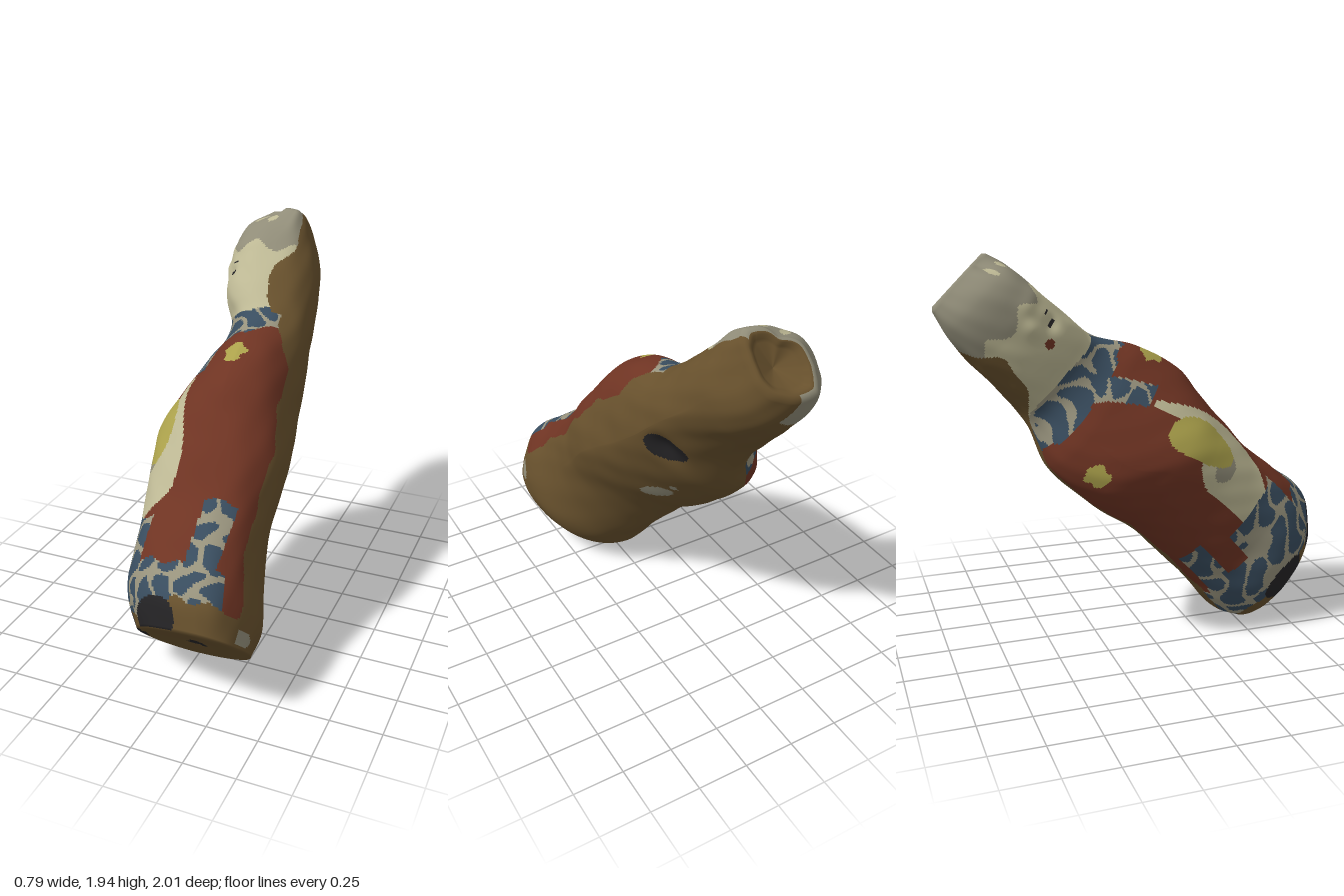
import * as THREE from 'three';

const COLORS = {
  barkBrown: 0x68512d, robeRed: 0x6f3423, trimBlue: 0x394d5f, trimTan: 0x98937d,
  paleCream: 0xbdb894, headGrey: 0x908c78, goldYellow: 0xaba14b, darkHollow: 0x252426,
};

// Log cross-sections, in the leaning frame (s along the log, n towards its carved side):
// s, left x, right x, low n, high n, x of high point, x of low point, n of left, n of right
const SECTIONS = [
  [-0.36, -0.22, 0.385, 0.37, 1.05, 0.21, -0.03, 0.62, 0.84],
  [-0.24, -0.285, 0.39, 0.325, 1.11, 0.19, -0.03, 0.68, 0.79],
  [0.0, -0.30, 0.33, 0.34, 1.085, 0.13, -0.03, 0.72, 0.79],
  [0.25, -0.33, 0.31, 0.35, 1.055, 0.09, -0.06, 0.73, 0.78],
  [0.50, -0.37, 0.325, 0.352, 1.07, 0.06, -0.09, 0.71, 0.78],
  [0.65, -0.395, 0.31, 0.322, 1.085, 0.04, -0.11, 0.67, 0.76],
  [0.82, -0.395, 0.285, 0.305, 1.095, 0.02, -0.12, 0.57, 0.73],
  [1.04, -0.325, 0.26, 0.31, 1.04, 0.02, -0.12, 0.55, 0.70],
  [1.24, -0.225, 0.235, 0.395, 0.925, 0.02, -0.08, 0.60, 0.69],
  [1.45, -0.285, 0.205, 0.422, 0.895, -0.04, -0.08, 0.65, 0.67],
  [1.62, -0.30, 0.175, 0.43, 0.885, -0.05, -0.09, 0.66, 0.66],
  [1.80, -0.28, 0.12, 0.455, 0.875, -0.01, -0.11, 0.66, 0.66],
  [1.91, -0.19, 0.07, 0.49, 0.85, 0.01, -0.13, 0.64, 0.68],
];
const S0 = -0.36, S1 = 1.91;
const RAD = Math.PI / 180, Q = Math.SQRT1_2;

// Carved swellings and dents: s, angle, reach along s, reach in degrees, depth
const BUMPS = [
  [0.58, 146, 0.14, 16, 0.012], // hands
  [1.146, 333, 0.07, 14, -0.035], // knot hole
  [1.52, 140, 0.035, 12, -0.016], // eye hollow
  [1.58, 165, 0.05, 9, 0.015], // nose
  [1.66, 140, 0.04, 30, 0.01], // brow
  [1.91, 128, 0.09, 20, -0.045], // notch in crown
  [1.30, 150, 0.05, 30, -0.012], // neck
];

const sectionAt = new THREE.CubicInterpolant(
  SECTIONS.map((r) => r[0]), SECTIONS.flatMap((r) => r.slice(1)), 8, new Float32Array(8));
const ramp = (v, a, b) => THREE.MathUtils.smoothstep(v, a, b);
const inside = (u, v, cu, cv, ru, rv) => ((u - cu) / ru) ** 2 + ((v - cv) / rv) ** 2 < 1;

// Outline point at height s and angle deg, returned as [x, n]
function outline(s, deg) {
  const [xl, xr, nb, nt, xt, xb, nl, nr] = sectionAt.evaluate(s);
  const c = Math.cos(deg * RAD), d = Math.sin(deg * RAD);
  const ax = d >= 0 ? xt : xb, an = c >= 0 ? nr : nl;
  // rounder at the base, flatter on the split bark corner and the sloping chest
  let p = 1.04 - 0.18 * ramp(s, -0.3, 0);
  if (c > 0 && d < 0) p += 0.5 * ramp(s, -0.15, 0.4) * (1 - ramp(s, 1.35, 1.8));
  if (c < 0 && d > 0) p += 0.58 * ramp(s, 0.25, 1.05) * (1 - ramp(s, 1.1, 1.36));
  const x = ax + ((c >= 0 ? xr : xl) - ax) * Math.abs(c) ** p;
  const n = an + ((d >= 0 ? nt : nb) - an) * Math.abs(d) ** p;
  let push = 0.0025 * Math.sin(s * 14 + 4 * c) * Math.sin(deg * RAD * 5 + s * 4)
    + 0.0015 * Math.sin(s * 27 + 6 * d) * Math.sin(deg * RAD * 8 - s * 7);
  for (const [bs, bd, rs, rd, h] of BUMPS) {
    push += h * Math.exp(-(((s - bs) / rs) ** 2) - ((deg - bd) / rd) ** 2);
  }
  return [x + c * push, n + d * push];
}

// Which painted part covers a spot on the log
function partAt(s, deg, x, n) {
  const wob = 2 * Math.sin(s * 19) + Math.sin(s * 43);
  // bark side with its knot hole and worn patches
  if ((deg > 270 || deg < 33) && x > 0) {
    if (inside(Q * (n - s), Q * (n + s), -0.4, 1.22, 0.097, 0.077)) return 'knotHole';
    if (inside(s, n + 0.3 * (s - 0.73), 0.73, 0.445, 0.09, 0.036)) return 'wornPatch';
    if (inside(s, n, 0.87, 0.42, 0.02, 0.015)) return 'wornPatch';
    if (inside(s, n, -0.31, 0.92, 0.035, 0.075)) return 'wornPatch';
  }
  // shoes
  if (deg < 180 && inside(x, s, -0.02, -0.315, 0.12, 0.085)) return 'shoes';
  if (deg > 120 && deg < 215 && inside(n, s, 0.69, -0.31, 0.14, 0.075)) return 'shoes';

  const right = s < 1.27 ? 33 + 35 * ramp(s, 0.98, 1.24) + wob
    : 82 - 26 * ramp(s, 1.54, 1.68) + wob;
  const left = 252 - 44 * ramp(s, 1.22, 1.4) + 75 * ramp(s, 1.58, 1.8) + wob;
  if (deg < right || deg > left) return 'bark';

  // head
  const collarTop = 1.29 + 0.02 * Math.sin(x * 17);
  if (s > collarTop) {
    if (inside(s, deg, 1.52, 140, 0.01, 8) || inside(s, deg, 1.57, 133, 0.007, 5)) return 'eyes';
    if (inside(s, deg, 1.47, 163, 0.022, 6)) return 'mouth';
    if (inside(s, deg, 1.84, 135, 0.03, 7) || inside(s, deg, 1.83, 108, 0.025, 6)) return 'face';
    return s > 1.66 + 0.03 * Math.sin(deg * 0.13) ? 'crown' : 'face';
  }
  // patterned collar, lapel, hem and the two upright hem panels
  const edge = 0.012 * Math.sin(x * 40 + s * 9);
  const collar = s > 1.12 + 0.5 * Math.max(0, x) + edge;
  const lapel = s > 0.9 && x > -0.25 && x < -0.165 && deg < 165;
  const leftHem = x < -0.17 && deg < 190 ? 0.13 : -0.04;
  const hem = s < (x < -0.17 ? leftHem : -0.075) + edge && deg > 58;
  const panel = s < 0.25 + edge && x > 0.08 && x < 0.225 && deg < 120;
  const sidePanel = s < 0.22 + edge && deg > 210 && deg < 239;
  if (s < (x > 0.06 ? -0.23 : -0.31) + edge) return 'bark';
  if (collar || lapel || hem || panel || sidePanel) {
    const across = x < -0.17 ? n * 0.9 : x;
    const wave = Math.sin(across * 25 + 1.5 * Math.sin(s * 25))
      + 0.8 * Math.sin(s * 24 + 1.8 * Math.sin(across * 20));
    return Math.abs(wave - 0.1) < 0.46 ? 'trimPattern' : 'trim';
  }
  // badges on both sides, hands and long beard
  const badge = 0.055 + 0.012 * Math.sin(s * 90);
  if (deg < 120 && inside(x, s, 0, 0.98, badge, 0.06)) return 'badge';
  if (deg > 180 && inside(n, s, 0.44, 0.9, badge, 0.055)) return 'badge';
  if (inside(s, deg, 0.58, 146, 0.19, 16)) return 'hands';
  if (inside(s, deg, 0.41, 155, 0.055, 13)) return 'sleeve';
  const beardEdge = -0.27 + 0.16 * ramp(s, 0.06, 0.3) - 0.11 * ramp(s, 0.4, 0.85);
  if (s > 0.08 && s < 0.88 && x < beardEdge && deg < 178 - 40 * ramp(s, 0.42, 0.72)) return 'beard';
  return 'robe';
}

const PART_COLOR = {
  bark: 'barkBrown', robe: 'robeRed', mouth: 'robeRed', trim: 'trimBlue', trimPattern: 'trimTan',
  face: 'paleCream', beard: 'paleCream', crown: 'headGrey', sleeve: 'headGrey', wornPatch: 'headGrey',
  hands: 'goldYellow', badge: 'goldYellow', knotHole: 'darkHollow', shoes: 'darkHollow', eyes: 'darkHollow',
};

export function createModel() {
  const AROUND = 250, ALONG = 250, CAP = 12;
  // rows: closed base, log wall, hollow head end
  const rows = [];
  for (let i = 0; i < CAP; i++) {
    const k = i / CAP;
    rows.push({ s: S0 - 0.004 + 0.02 * (1 - k) ** 2, at: S0, k, cap: true });
  }
  for (let i = 0; i <= ALONG; i++) {
    const s = S0 + (S1 - S0) * (i / ALONG);
    rows.push({ s, at: s, k: 1, cap: false });
  }
  for (let i = 1; i <= CAP; i++) {
    const k = 1 - i / CAP;
    rows.push({ s: S1 + (k > 0.7 ? 0.014 : -0.06 * (1 - k / 0.75)), at: S1, k, cap: true });
  }

  const pos = [], flat = [];
  for (const row of rows) {
    const [xl, xr, nb, nt] = Array.from(sectionAt.evaluate(row.at));
    const cx = (xl + xr) / 2, cn = (nb + nt) / 2;
    for (let j = 0; j < AROUND; j++) {
      const [ox, on] = outline(row.at, (j / AROUND) * 360);
      const x = cx + (ox - cx) * row.k, n = cn + (on - cn) * row.k;
      // the head end is cut at a slant
      const s = row.s - 0.2 * (x + 0.06) * ramp(row.at, 1.65, S1);
      flat.push([x, n]);
      pos.push(x, Q * (s + n), Q * (n - s));
    }
  }

  // sort faces into painted parts
  const faces = {}, all = [];
  for (let i = 0; i < rows.length - 1; i++) {
    const row = rows[i], next = rows[i + 1];
    const isBase = row.cap && i < CAP;
    const isHollow = next.cap && i >= CAP && next.k < 0.8;
    for (let j = 0; j < AROUND; j++) {
      const a = i * AROUND + j, b = i * AROUND + ((j + 1) % AROUND);
      const c = a + AROUND, d = b + AROUND;
      const [x, n] = flat[a];
      let part = 'bark';
      if (!isBase && !isHollow) part = partAt((row.at + next.at) / 2, ((j + 0.5) / AROUND) * 360, x, n);
      if (isBase && inside(x, n, 0.09, 0.69, 0.034, 0.026)) part = 'knotHole';
      if (isBase && inside(x, n, -0.2, 0.72, 0.055, 0.1)) part = 'shoes';
      const quad = [a, c, b, b, c, d];
      (faces[part] ??= []).push(...quad);
      all.push(...quad);
    }
  }

  // one shared smooth surface
  const surface = new THREE.BufferGeometry();
  surface.setAttribute('position', new THREE.Float32BufferAttribute(pos, 3));
  surface.setIndex(all);
  surface.computeVertexNormals();
  surface.computeBoundingBox();

  const mats = {};
  for (const [name, color] of Object.entries(COLORS)) {
    mats[name] = new THREE.MeshStandardMaterial({ color });
    mats[name].name = name;
  }
  const model = new THREE.Group();
  model.name = 'carvedLogFigure';
  for (const [part, index] of Object.entries(faces)) {
    const geo = new THREE.BufferGeometry();
    geo.setAttribute('position', surface.getAttribute('position'));
    geo.setAttribute('normal', surface.getAttribute('normal'));
    geo.setIndex(index);
    const mesh = new THREE.Mesh(geo, mats[PART_COLOR[part]]);
    mesh.name = part;
    mesh.position.y = -surface.boundingBox.min.y;
    model.add(mesh);
  }
  return model;
}
